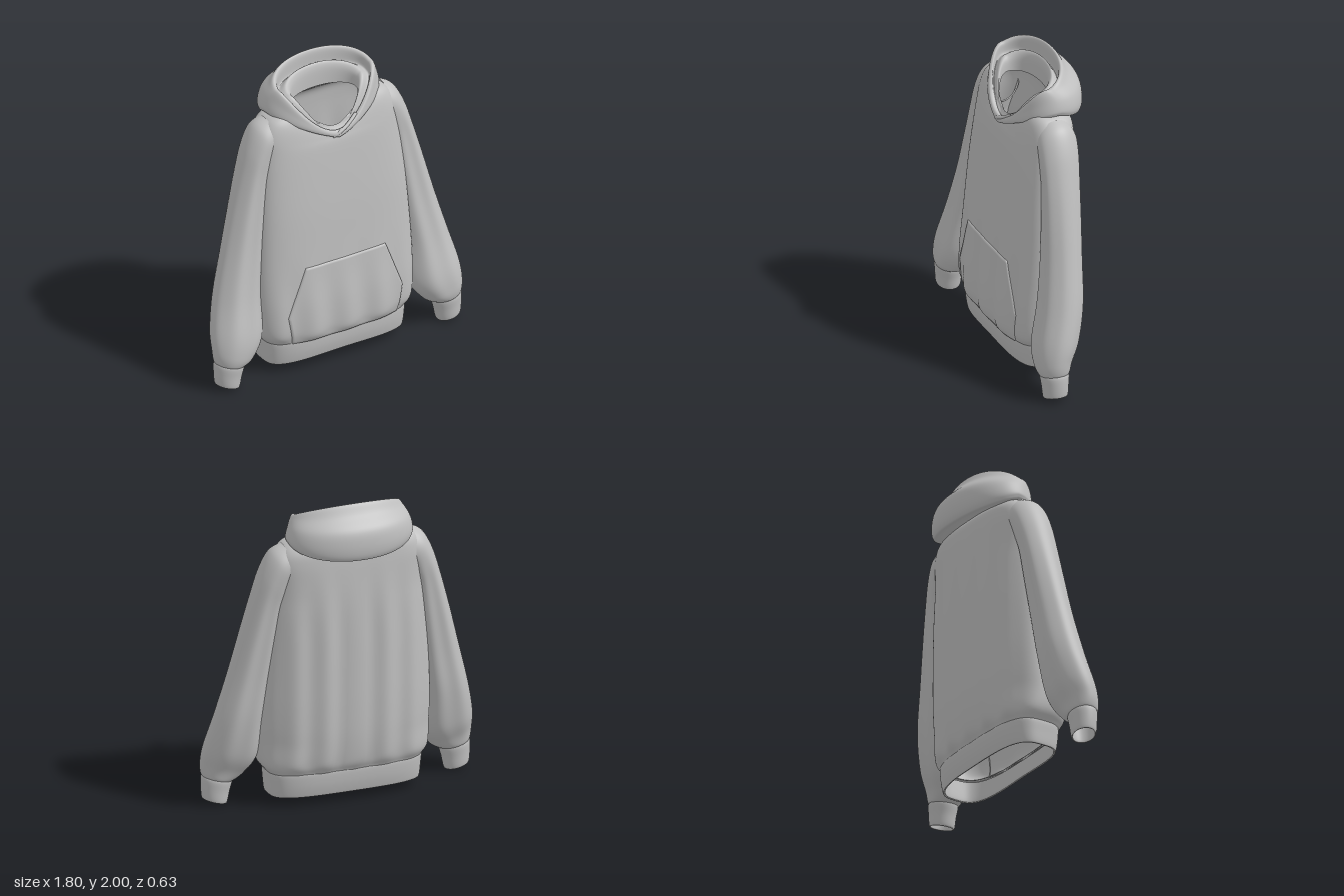
import * as THREE from 'three';

const fabric = new THREE.MeshStandardMaterial({ color: 0xbfbfbf, side: THREE.DoubleSide });
fabric.name = 'grey fabric';

// Smooth interpolation through rows of numbers, t in 0..1
function sample(rows, t) {
  const f = Math.min(Math.max(t, 0), 1) * (rows.length - 1);
  const i = Math.min(Math.floor(f), rows.length - 2), u = f - i;
  const at = k => rows[Math.min(Math.max(k, 0), rows.length - 1)];
  const [a, b, c, d] = [at(i - 1), at(i), at(i + 1), at(i + 2)];
  return b.map((v, k) => v + 0.5 * u * (c[k] - a[k] +
    u * (2 * a[k] - 5 * v + 4 * c[k] - d[k] + u * (3 * (v - c[k]) + d[k] - a[k]))));
}

// Grid surface from point(u, v); optionally closed around u
function surface(name, nu, nv, point, closed = true) {
  const pos = [], index = [], cols = closed ? nu : nu + 1;
  for (let j = 0; j <= nv; j++)
    for (let i = 0; i < cols; i++) pos.push(...point(i / nu, j / nv));
  for (let j = 0; j < nv; j++)
    for (let i = 0; i < nu; i++) {
      const a = j * cols + i, b = j * cols + (i + 1) % cols;
      index.push(a, a + cols, b, b, a + cols, b + cols);
    }
  const g = new THREE.BufferGeometry();
  g.setAttribute('position', new THREE.Float32BufferAttribute(pos, 3));
  g.setIndex(index);
  g.computeVertexNormals();
  const mesh = new THREE.Mesh(g, fabric);
  mesh.name = name;
  return mesh;
}

// Row: half width, front z, back z, height at front, side and back, roundness of the front dip
function ringPoint([w, zf, zb, yf, ys, yb, dip = 1], angle, n) {
  const c = Math.cos(angle), s = Math.sin(angle);
  const pow = v => Math.sign(v) * Math.abs(v) ** (2 / n);
  const y = s > 0 ? yf + (ys - yf) * Math.abs(c) ** dip : ys - (yb - ys) * s;
  return [w * pow(c), y, (zf + zb) / 2 + (zf - zb) / 2 * pow(s)];
}

const flat = (w, zf, zb, y) => [w, zf, zb, y, y, y];
const bodyRows = [
  flat(0.495, 0.262, -0.125, 0.2), flat(0.515, 0.28, -0.138, 0.225), flat(0.553, 0.295, -0.165, 0.29),
  flat(0.566, 0.292, -0.185, 0.45), flat(0.566, 0.276, -0.193, 0.65), flat(0.555, 0.258, -0.195, 0.88),
  flat(0.54, 0.24, -0.195, 1.1), flat(0.52, 0.216, -0.192, 1.32), flat(0.5, 0.193, -0.185, 1.5),
  [0.485, 0.177, -0.178, 1.56, 1.62, 1.62], [0.445, 0.165, -0.168, 1.59, 1.705, 1.69],
  [0.38, 0.155, -0.14, 1.605, 1.748, 1.735], [0.25, 0.145, -0.1, 1.62, 1.772, 1.77]
];
const BODY_POWER = 3.3;
const smooth = THREE.MathUtils.smoothstep;

// Vertical drape folds, strongest near the hem in front and mid length behind
const frontFold = (x, y) => 0.012 * Math.cos(x * Math.PI * 2 / 0.245) * (1 - smooth(y, 0.3, 0.85)) * smooth(y, 0.19, 0.26);
const backFold = (x, y) => 0.011 * Math.cos(x * Math.PI * 2 / 0.2) * (1 - smooth(y, 1.1, 1.65)) * smooth(y, 0.19, 0.3);

function bodyPoint(u, v) {
  const a = u * Math.PI * 2, s = Math.sin(a);
  const p = ringPoint(sample(bodyRows, v), a, BODY_POWER);
  if (s > 0) p[2] += frontFold(p[0], p[1]) * s;
  else {
    p[0] *= 1 + 0.17 * s * (1 - smooth(p[1], 1.35, 1.7)) * smooth(p[1], 0.2, 0.45);
    p[2] += backFold(p[0], p[1]) * s;
  }
  return p;
}

// Depth of the body front at a given x and y
function frontDepth(x, y) {
  let lo = 0, hi = 0.7;
  for (let i = 0; i < 24; i++) {
    const mid = (lo + hi) / 2;
    if (sample(bodyRows, mid)[4] < y) lo = mid; else hi = mid;
  }
  const [w, zf, zb] = sample(bodyRows, lo);
  const s = Math.max(0, 1 - (Math.abs(x) / w) ** BODY_POWER) ** (1 / BODY_POWER);
  return (zf + zb) / 2 + (zf - zb) / 2 * s + frontFold(x, y) * s ** (BODY_POWER / 2);
}

// Kangaroo pocket: a thin panel following the body, with edges tucked in
function makePocket() {
  const halfWidth = y => y > 0.41 ? 0.415 - 0.125 * (y - 0.41) / 0.325 : 0.38 + 0.035 * (y - 0.215) / 0.195;
  return surface('pocket', 52, 34, (u, v) => {
    const y = 0.215 + 0.52 * Math.min(Math.max((v * 34 - 1) / 32, 0), 1);
    const x = halfWidth(y) * (2 * Math.min(Math.max((u * 52 - 1) / 50, 0), 1) - 1);
    const edge = u === 0 || u === 1 || v === 0 || v === 1;
    return [x, y, frontDepth(x, y) + (edge ? -0.006 : 0.008)];
  }, false);
}

const hemRows = [
  flat(0.49, 0.255, -0.12, 0.215), [0.508, 0.272, -0.135, 0.222, 0.215, 0.215],
  [0.504, 0.27, -0.13, 0.15, 0.14, 0.14], [0.497, 0.257, -0.115, 0.085, 0.065, 0.07],
  [0.487, 0.249, -0.107, 0.08, 0.06, 0.065], [0.48, 0.245, -0.102, 0.095, 0.075, 0.08],
  flat(0.49, 0.257, -0.12, 0.2)
];

// Hood: from the neck, out over the drooping fold, to the rim and down the lining
const hoodRows = [
  [0.27, 0.14, -0.12, 1.6, 1.765, 1.75, 1], [0.385, 0.188, -0.265, 1.562, 1.745, 1.67, 1.1],
  [0.41, 0.2, -0.303, 1.56, 1.765, 1.685, 1.15], [0.41, 0.204, -0.312, 1.57, 1.795, 1.77, 1.2],
  [0.393, 0.203, -0.292, 1.583, 1.848, 1.86, 1.35], [0.367, 0.197, -0.22, 1.597, 1.895, 1.935, 1.55],
  [0.347, 0.187, -0.178, 1.605, 1.913, 1.998, 1.7], [0.325, 0.174, -0.158, 1.6, 1.9, 1.98, 1.7],
  [0.315, 0.165, -0.152, 1.588, 1.84, 1.89, 1.6], [0.265, 0.157, -0.125, 1.58, 1.86, 1.925, 1.6],
  [0.235, 0.15, -0.105, 1.575, 1.83, 1.88, 1.5], [0.225, 0.148, -0.1, 1.565, 1.765, 1.77, 1.4]
];

// Sleeve row: height, inner x, outer x, centre z, z radius, tilt
const sleeveRows = [
  [1.6, 0.38, 0.425, -0.005, 0.125, 0.135], [1.575, 0.4, 0.505, -0.003, 0.13, 0.115],
  [1.485, 0.42, 0.572, 0.003, 0.128, 0.085], [1.36, 0.44, 0.628, 0.012, 0.122, 0.04],
  [1.15, 0.46, 0.695, 0.027, 0.12, 0.015], [0.88, 0.49, 0.77, 0.05, 0.122, 0],
  [0.6, 0.525, 0.843, 0.082, 0.134, 0.01], [0.36, 0.545, 0.893, 0.132, 0.138, 0.04],
  [0.235, 0.62, 0.902, 0.165, 0.112, 0.04], [0.175, 0.688, 0.893, 0.17, 0.093, 0.025],
  [0.17, 0.71, 0.875, 0.17, 0.078, 0.02]
];
const cuffRows = [
  [0.185, 0.705, 0.875, 0.17, 0.075, 0.02], [0.165, 0.695, 0.893, 0.17, 0.09, 0.02],
  [0.1, 0.712, 0.895, 0.17, 0.084, 0.02], [0.035, 0.726, 0.89, 0.17, 0.079, 0.02],
  [0.022, 0.735, 0.883, 0.17, 0.072, 0.02], [0.04, 0.742, 0.878, 0.17, 0.069, 0.02],
  [0.17, 0.715, 0.875, 0.17, 0.077, 0.02]
];

function armPoint(rows, side, fold) {
  return (u, v) => {
    const a = side * u * Math.PI * 2;
    const [y, x0, x1, zc, rz, tilt] = sample(rows, v);
    const r = 1 + fold * Math.cos(6 * a) * Math.sin(Math.PI * v) ** 2;
    const c = Math.cos(a), s = Math.sin(a);
    return [side * ((x0 + x1) / 2 + (x1 - x0) / 2 * c), y + tilt * c, zc + rz * s * r];
  };
}

export function createModel() {
  const model = new THREE.Group();
  model.name = 'hoodedSweatshirt';
  model.add(surface('body', 160, 72, bodyPoint));
  model.add(surface('hemBand', 120, 30, (u, v) => ringPoint(sample(hemRows, v), u * Math.PI * 2, BODY_POWER)));
  model.add(makePocket());
  model.add(surface('hood', 112, 66, (u, v) => ringPoint(sample(hoodRows, v), u * Math.PI * 2, 2.1)));

  // Overlapping edge where the two sides of the hood cross at the throat
  const overlap = new THREE.CatmullRomCurve3([
    new THREE.Vector3(0.14, 1.668, 0.163), new THREE.Vector3(0.06, 1.617, 0.186),
    new THREE.Vector3(0, 1.59, 0.195), new THREE.Vector3(-0.045, 1.569, 0.19)
  ]);
  const overlapMesh = new THREE.Mesh(new THREE.TubeGeometry(overlap, 20, 0.012, 10), fabric);
  overlapMesh.name = 'hoodOverlap';
  model.add(overlapMesh);

  for (const side of [1, -1]) {
    const label = side > 0 ? 'left' : 'right';
    model.add(surface(label + 'Sleeve', 64, 66, armPoint(sleeveRows, side, 0.06)));
    model.add(surface(label + 'Cuff', 48, 24, armPoint(cuffRows, side, 0)));
  }
  return model;
}
